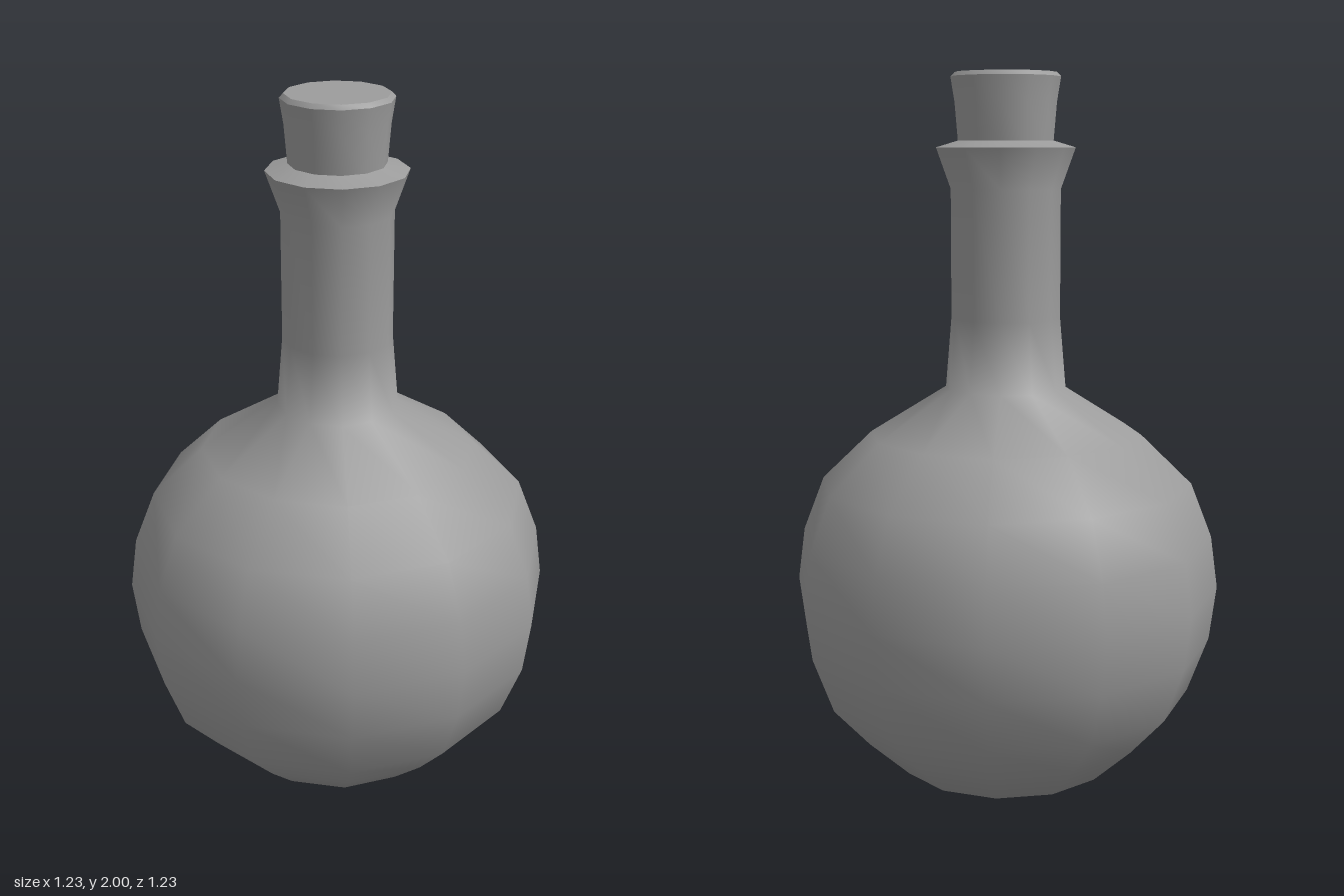
import * as THREE from 'three';
import { mergeVertices } from 'three/addons/utils/BufferGeometryUtils.js';

const SIDES = 12;

export function createModel() {
  const group = new THREE.Group();
  const material = new THREE.MeshStandardMaterial({ color: 0x9c9c9c });

  // Turned part, welded at its seam and smoothed; separate profiles meet at sharp edges
  const turned = (name, profile) => {
    const points = profile.map(([r, y]) => new THREE.Vector2(r, y));
    const lathe = new THREE.LatheGeometry(points, SIDES);
    lathe.deleteAttribute('uv');
    lathe.deleteAttribute('normal');
    const geometry = mergeVertices(lathe);
    geometry.computeVertexNormals();
    const mesh = new THREE.Mesh(geometry, material);
    mesh.name = name;
    group.add(mesh);
  };

  // Round flask flowing smoothly into its neck and flared lip
  turned('flask', [
    [0, 0], [0.31, 0], [0.43, 0.11], [0.535, 0.225], [0.595, 0.385],
    [0.615, 0.54], [0.595, 0.69], [0.535, 0.845], [0.39, 0.985],
    [0.172, 1.12], [0.155, 1.32], [0.155, 1.68], [0.196, 1.795],
  ]);

  // Rim from the lip in to the stopper
  turned('lipRim', [[0.196, 1.795], [0.13, 1.815]]);

  // Tapered stopper with a bevelled top
  turned('stopperSide', [[0.133, 1.8], [0.143, 1.92], [0.154, 1.988]]);
  turned('stopperBevel', [[0.154, 1.988], [0.143, 2]]);
  turned('stopperTop', [[0.143, 2], [0, 2]]);

  return group;
}
